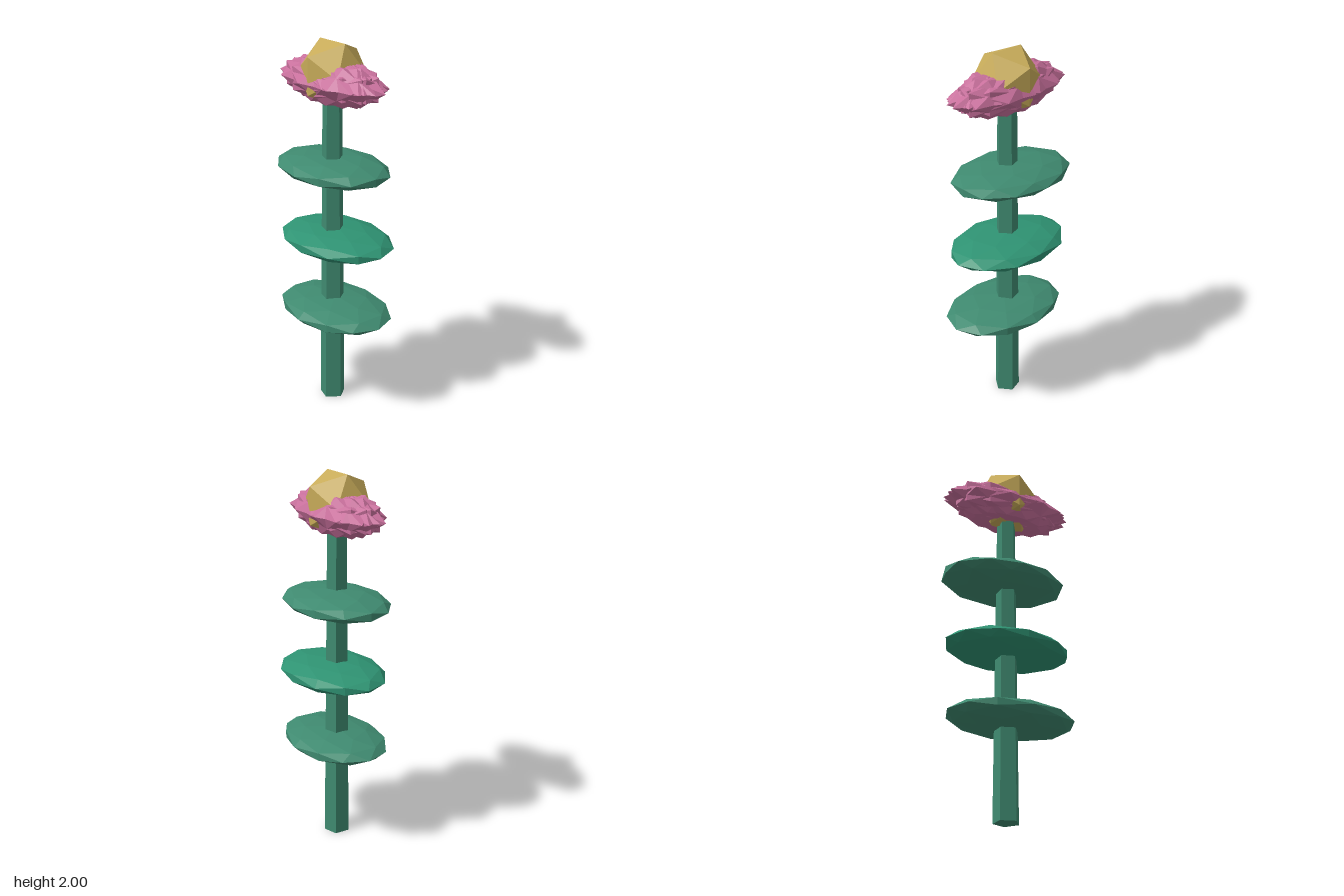
import * as THREE from 'three';

const CX = -0.013, CZ = 0.005; // axis of the stem

function part(name, geometry, color) {
  const flat = geometry.index ? geometry.toNonIndexed() : geometry;
  flat.computeVertexNormals();
  const mesh = new THREE.Mesh(flat, new THREE.MeshStandardMaterial({ color, flatShading: true }));
  mesh.name = name;
  return mesh;
}

// Low-poly ball, turned about y and then squashed, set slightly off the stem axis
function squashedBall(detail, turn, size, offset, angle, y) {
  return new THREE.IcosahedronGeometry(1, detail)
    .rotateY(turn)
    .scale(...size)
    .translate(CX + offset * Math.cos(angle), y, CZ - offset * Math.sin(angle));
}

export function createModel() {
  const model = new THREE.Group();
  model.name = 'flower';

  // Five-sided tapering stem with one corner towards +x
  const stem = new THREE.CylinderGeometry(0.052, 0.07, 1.8, 5)
    .rotateY(Math.PI / 2)
    .translate(CX, 0.9, CZ);
  model.add(part('stem', stem, 0x3f8a70));

  // Three flat leaves
  const leaves = [
    { y: 0.545, turn: 0, angle: 0, color: 0x3f8a70 },
    { y: 0.942, turn: 0.553, angle: 0.93, color: 0x2f9373 },
    { y: 1.335, turn: 1.018, angle: 2.36, color: 0x3f8a70 },
  ];
  leaves.forEach(({ y, turn, angle, color }, i) => {
    const geometry = squashedBall(1, turn, [0.357, 0.067, 0.255], 0.023, angle, y);
    model.add(part('leaf' + (i + 1), geometry, color));
  });

  // Spiky ring of overlapping petals
  const petals = new THREE.Group();
  petals.name = 'petals';
  const count = 12;
  for (let i = 0; i < count; i++) {
    const angle = (i / count) * Math.PI * 2;
    const geometry = squashedBall(0, angle * 1.08, [0.355, 0.1176, 0.145], 0.03, angle, 1.8);
    petals.add(part('petal' + (i + 1), geometry, 0xc8709c));
  }
  model.add(petals);

  // Golden flower centre
  const centre = new THREE.IcosahedronGeometry(0.186, 0).translate(CX, 1.842, CZ);
  model.add(part('flowerCentre', centre, 0xc8ac5a));

  return model;
}
